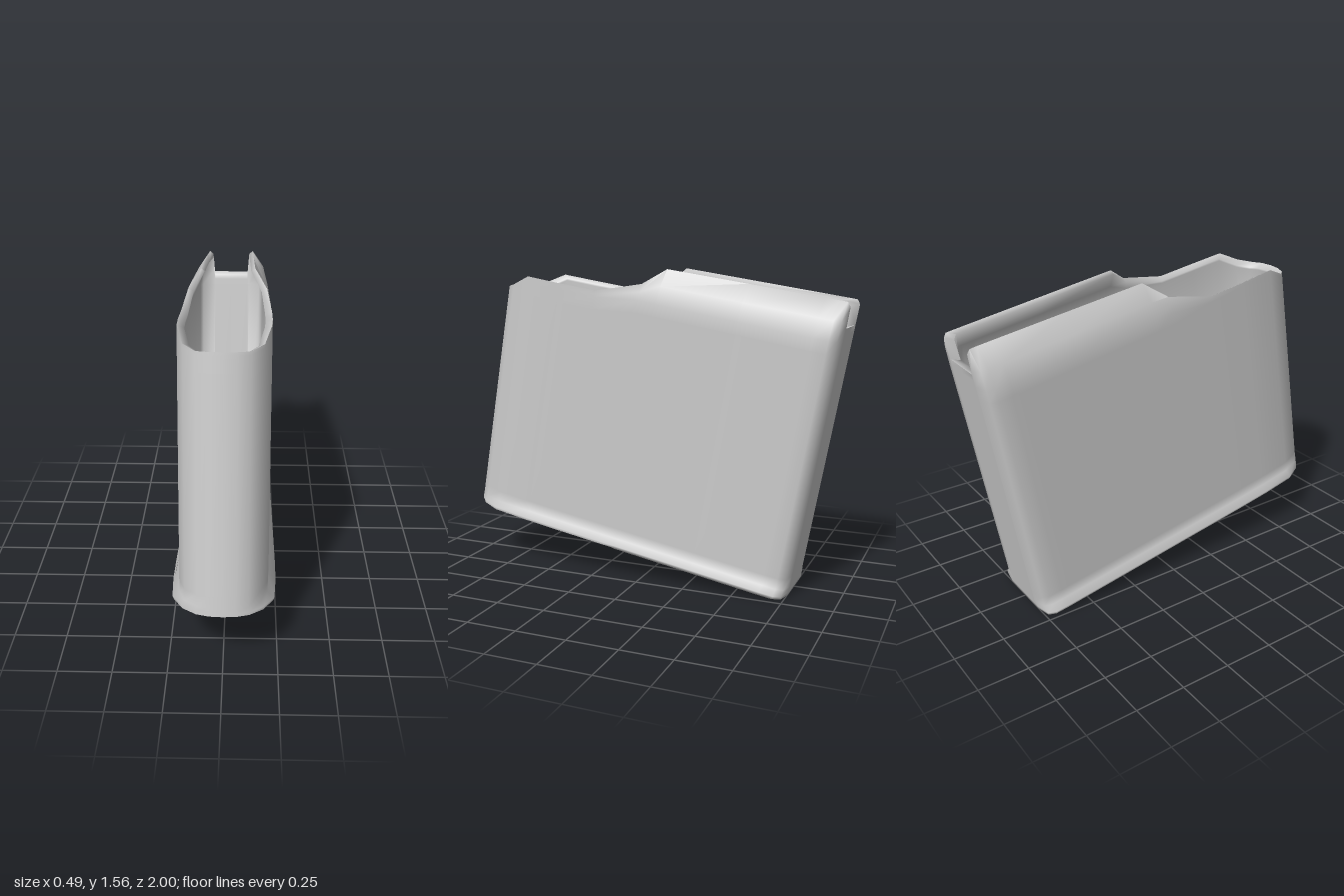
import * as THREE from 'three';
import { toCreasedNormals } from 'three/addons/utils/BufferGeometryUtils.js';

// Half of the plan outline, front to back: [x, depth u, rim height]
const half = [
  [0, 0, 1.18], [0.06, -0.005, 1.18], [0.115, -0.025, 1.18], [0.17, -0.08, 1.2],
  [0.2, -0.174, 1.26], [0.208, -0.36, 1.26], [0.21, -0.559, 1.262], [0.21, -0.79, 1.338],
  [0.21, -0.886, 1.426], [0.21, -1.3, 1.433], [0.21, -1.66, 1.439], [0.208, -1.73, 1.44],
  [0.19, -1.765, 1.44], [0.12, -1.78, 1.42], [0.11, -1.78, 1.32], [0, -1.78, 1.32],
];
const last = half.length - 1;
const outline = [...half, ...half.slice(1, last).reverse().map(([x, u, t]) => [-x, u, t])];
const n = outline.length;
const mirror = (i) => (n - i) % n;

// Greatest half width at a height: the upper edges lean in as curved lips
function widthAt(v) {
  if (v < 1.26) return 0.21;
  if (v < 1.345) return 0.21 - (v - 1.26) * 0.25;
  return 0.189 - (v - 1.345) * 0.69;
}
const clampX = (x, w) => Math.sign(x) * Math.min(Math.abs(x), w);
const shoulder = (t) => Math.min(1.26, t - 0.03);
const middle = (t) => (shoulder(t) + t) / 2;

// The foot widens along the sides and fades out round the front
const flareX = (x, u, k) => x * (1 + k * Math.min(1, -u / 0.18));
const flare = (v, k) => ([x, u]) => [flareX(x, u, k), v, u];
const outer = (height) => ([x, u, t]) => {
  const v = height(t);
  return [clampX(x, widthAt(v)), v, u];
};
const inner = (height) => ([x, u, t]) => {
  const v = height(t);
  return [clampX(x * 0.85, widthAt(v) - 0.03), v, -0.885 + (u + 0.885) * 0.957];
};
// Underside, hollowed towards the front
const underside = ([x, u]) => [
  flareX(x, u, 0.11) * 0.995, Math.max(0, 0.1 * (u + 0.886) / 0.886), -0.885 + (u + 0.885) * 0.988,
];

// Rings from the underside, up the outer wall, over the rim and down inside
const rings = [
  underside, flare(0.006, 0.14), flare(0.02, 0.165), flare(0.045, 0), flare(0.1, 0),
  outer((t) => shoulder(t) - 0.06), outer(shoulder), outer(middle), outer((t) => t),
  inner((t) => t - 0.015), inner((t) => middle(t) - 0.01), inner((t) => shoulder(t) - 0.01),
  inner(() => 0.12),
];

function shellGeometry() {
  const pos = [], index = [];
  rings.forEach((ring) => outline.forEach((p) => pos.push(...ring(p))));
  for (let k = 0; k < rings.length - 1; k++) {
    for (let i = 0; i < n; i++) {
      const a = k * n + i, b = k * n + (i + 1) % n;
      index.push(a, b, b + n, a, b + n, a + n);
    }
  }
  // Underside and inner floor, bridged from side to side
  const tri = (base, up, a, b, c) => {
    if (a === b || b === c || a === c) return;
    index.push(base + a, base + (up ? c : b), base + (up ? b : c));
  };
  for (const [base, up] of [[0, false], [(rings.length - 1) * n, true]]) {
    for (let i = 0; i < last; i++) {
      tri(base, up, i, mirror(i), i + 1);
      tri(base, up, i + 1, mirror(i), mirror(i + 1));
    }
  }
  const geo = new THREE.BufferGeometry();
  geo.setAttribute('position', new THREE.Float32BufferAttribute(pos, 3));
  geo.setIndex(index);
  return toCreasedNormals(geo, 1.6);
}

export function createModel() {
  const group = new THREE.Group();
  const grey = new THREE.MeshStandardMaterial({ color: 0xcacaca });
  grey.name = 'light grey';

  // Open-topped hollow case, tilted back
  const shell = new THREE.Mesh(shellGeometry(), grey);
  shell.name = 'hollowCase';
  shell.rotation.x = -0.175;
  shell.position.set(0, 0.31, 1);
  group.add(shell);
  return group;
}
